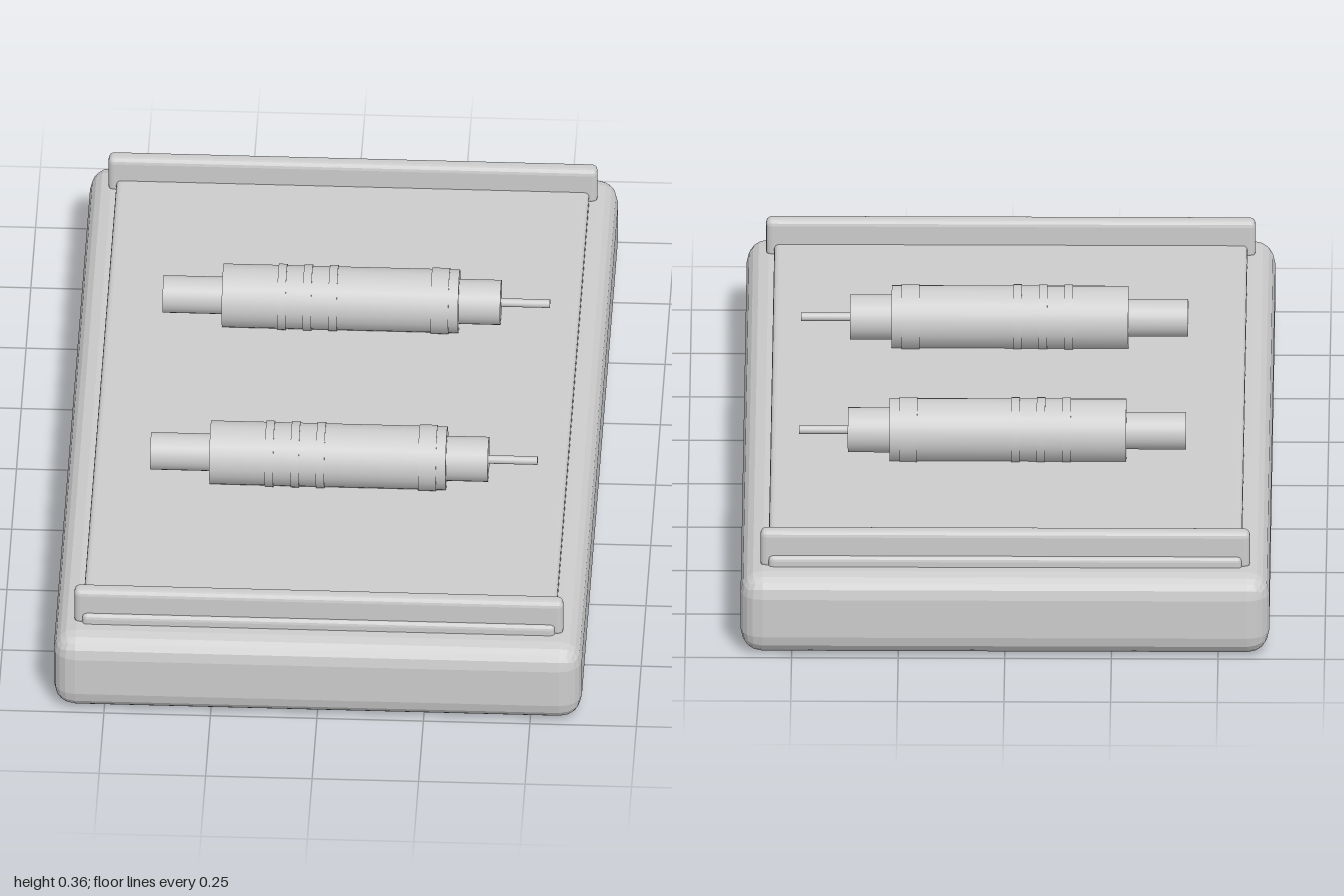
import * as THREE from 'three';
import { RoundedBoxGeometry } from 'three/addons/geometries/RoundedBoxGeometry.js';

export function createModel() {
  const model = new THREE.Group();
  const grey = new THREE.MeshStandardMaterial({ color: 0xcccccc });
  grey.name = 'light grey';

  // Box with faceted bevels, placed by its bottom height
  function bevelBox(name, w, h, d, r, bottom, z = 0) {
    const geo = new RoundedBoxGeometry(w, h, d, 2, r);
    geo.computeVertexNormals();
    const mesh = new THREE.Mesh(geo, grey);
    mesh.name = name;
    mesh.position.set(0, bottom + h / 2, z);
    model.add(mesh);
  }

  bevelBox('base', 1.24, 0.2, 2, 0.052, 0);
  bevelBox('trayPanel', 1.11, 0.045, 1.85, 0.012, 0.18);
  for (const side of [1, -1]) {
    bevelBox(side > 0 ? 'frontRail' : 'backRail', 1.148, 0.095, 0.04, 0.014, 0.19, side * 0.895);
  }

  // Cylinder sections along x: name, start, end, radius
  const sections = [
    ['tail', -0.42, -0.27, 0.044],
    ['barrel', -0.28, 0.275, 0.075],
    ['collar', 0.265, 0.373, 0.053],
    ['pin', 0.365, 0.488, 0.01],
    ['gripRing', -0.15, -0.13, 0.078],
    ['gripRing', -0.09, -0.07, 0.078],
    ['gripRing', -0.03, -0.01, 0.078],
    ['noseRing', 0.21, 0.252, 0.078],
  ];
  for (const z of [0.325, -0.325]) {
    const plug = new THREE.Group();
    plug.name = z > 0 ? 'frontPlug' : 'backPlug';
    plug.position.set(0, 0.285, z);
    for (const [name, from, to, radius] of sections) {
      const geo = new THREE.CylinderGeometry(radius, radius, to - from, 24);
      const mesh = new THREE.Mesh(geo.rotateZ(-Math.PI / 2), grey);
      mesh.name = name;
      mesh.position.x = (from + to) / 2;
      plug.add(mesh);
    }
    model.add(plug);
  }
  return model;
}
